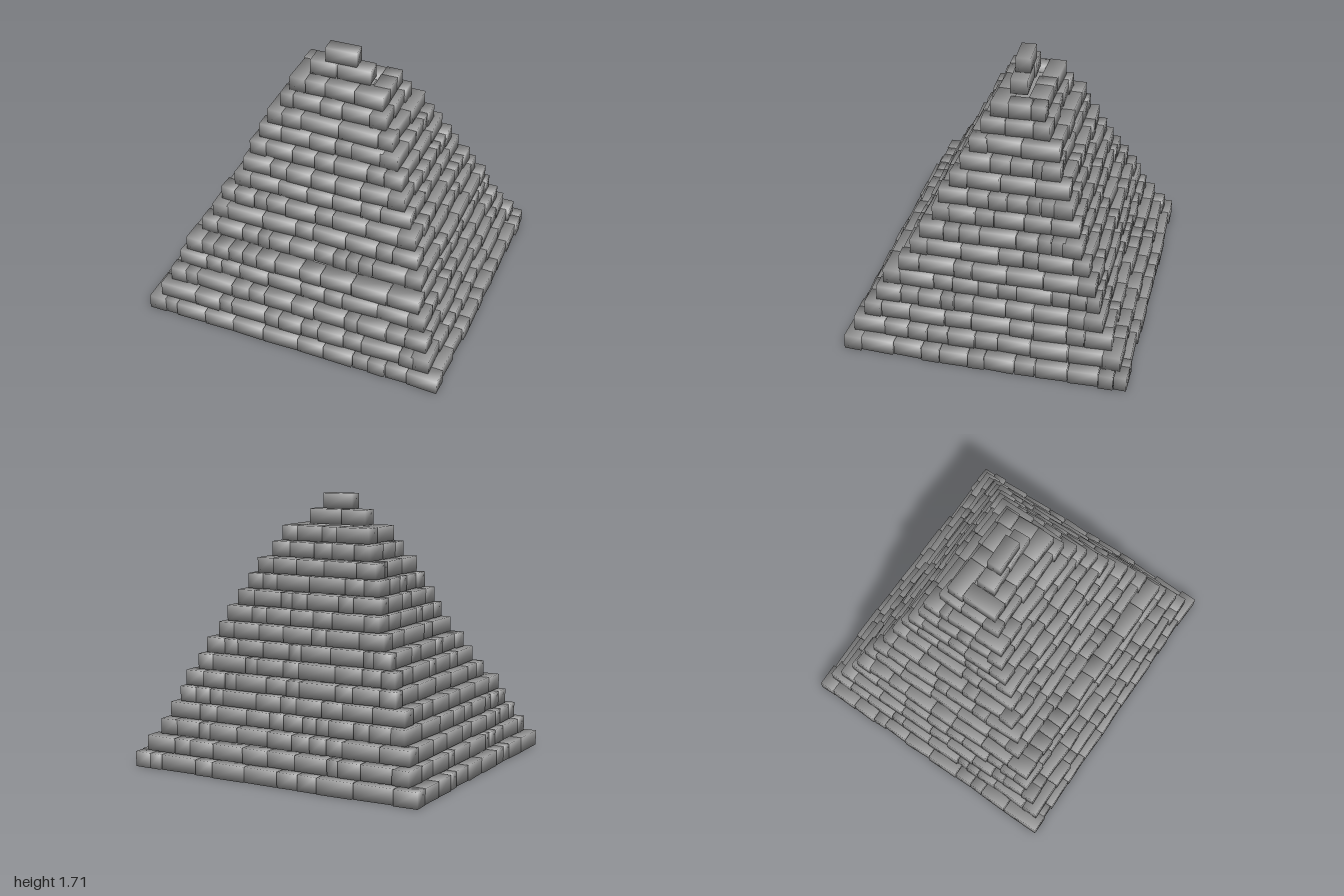
import * as THREE from 'three';

const PITCH = 0.101;
const DEPTH = 0.11;
// Outer edges of each course, bottom to top: [xMin, xMax, zMin, zMax]
const COURSES = [
  [-1, 1, -0.9, 0.905], [-0.93, 0.935, -0.845, 0.86], [-0.89, 0.885, -0.78, 0.8],
  [-0.845, 0.845, -0.715, 0.73], [-0.81, 0.79, -0.685, 0.7], [-0.745, 0.77, -0.655, 0.6],
  [-0.7, 0.715, -0.6, 0.54], [-0.65, 0.68, -0.55, 0.485], [-0.58, 0.615, -0.515, 0.425],
  [-0.535, 0.575, -0.47, 0.39], [-0.51, 0.525, -0.43, 0.325], [-0.47, 0.48, -0.365, 0.27],
  [-0.435, 0.42, -0.345, 0.235], [-0.365, 0.355, -0.27, 0.17], [-0.325, 0.31, -0.23, 0.12],
];

let seed = 1;
function random() {
  seed = (seed * 16807) % 2147483647;
  return seed / 2147483647;
}
const spread = (amount) => (random() * 2 - 1) * amount;

// Unit box whose corner normals point outwards, for soft pillow shading
function brickGeometry() {
  const geo = new THREE.BoxGeometry(1, 1, 1);
  geo.attributes.normal.copy(geo.attributes.position);
  geo.normalizeNormals();
  return geo;
}

export function createModel() {
  seed = 4711;
  const model = new THREE.Group();
  model.name = 'steppedPyramid';
  const material = new THREE.MeshStandardMaterial({ color: 0x999999 });
  const geometry = brickGeometry();

  function addBrick(parent, x, y, z, length, depth, yaw) {
    const brick = new THREE.Mesh(geometry, material);
    brick.name = 'brick';
    brick.position.set(x, y, z);
    brick.rotation.y = yaw;
    brick.scale.set(length, 0.097 + spread(0.002), depth);
    parent.add(brick);
  }

  // Row of random-length bricks from a to b; "edge" is the outer face, "out" its direction
  function addRow(parent, alongX, a, b, edge, out, y) {
    const lengths = [];
    let total = 0;
    while (total < b - a - 0.06) {
      const length = 0.08 + random() * 0.18;
      lengths.push(length);
      total += length;
    }
    const fit = (b - a) / total;
    let start = a;
    for (const raw of lengths) {
      const length = raw * fit;
      const depth = DEPTH + spread(0.008);
      const yaw = spread(0.05);
      const mid = start + length / 2;
      // keep the turned corner inside the outer edge
      const inset = depth / 2 + Math.abs(yaw) * length / 2 + random() * 0.012;
      const across = edge - out * inset;
      if (alongX) addBrick(parent, mid, y, across, length - 0.006, depth, yaw);
      else addBrick(parent, across, y, mid, length - 0.006, depth, Math.PI / 2 + yaw);
      start += length;
    }
  }

  // Ring courses: each row takes one corner, turning the other way on alternate courses
  COURSES.forEach(([x0, x1, z0, z1], i) => {
    const course = new THREE.Group();
    course.name = `course${i + 1}`;
    const y = 0.054 + i * PITCH;
    const p = i % 2 ? 0 : DEPTH;
    const q = DEPTH - p;
    addRow(course, true, x0 + p, x1 - q, z1, 1, y);
    addRow(course, true, x0 + q, x1 - p, z0, -1, y);
    addRow(course, false, z0 + q, z1 - p, x1, 1, y);
    addRow(course, false, z0 + p, z1 - q, x0, -1, y);
    model.add(course);
  });

  // Summit: two bricks and a capstone
  const summit = new THREE.Group();
  summit.name = 'summit';
  addBrick(summit, -0.13, 0.054 + 15 * PITCH, -0.025, 0.165, 0.12, 0.05);
  addBrick(summit, 0.075, 0.054 + 15 * PITCH, -0.03, 0.215, 0.11, 0.04);
  addBrick(summit, -0.015, 0.054 + 16 * PITCH, -0.033, 0.205, 0.095, 0.04);
  model.add(summit);

  // Solid core filling the rings, leaning slightly to the back as it rises
  const coreHeight = 1.48;
  const coreGeo = new THREE.CylinderGeometry(Math.SQRT2, Math.SQRT2, coreHeight, 4, 1).toNonIndexed();
  coreGeo.rotateY(Math.PI / 4);
  coreGeo.translate(0, coreHeight / 2, 0);
  const pos = coreGeo.attributes.position;
  for (let i = 0; i < pos.count; i++) {
    const t = pos.getY(i) / coreHeight;
    pos.setX(i, pos.getX(i) * (0.9 - 0.72 * t));
    pos.setZ(i, pos.getZ(i) * (0.8 - 0.71 * t) - 0.055 * t);
  }
  coreGeo.computeVertexNormals();
  const core = new THREE.Mesh(coreGeo, material);
  core.name = 'core';
  core.position.y = 0.008;
  model.add(core);

  return model;
}
